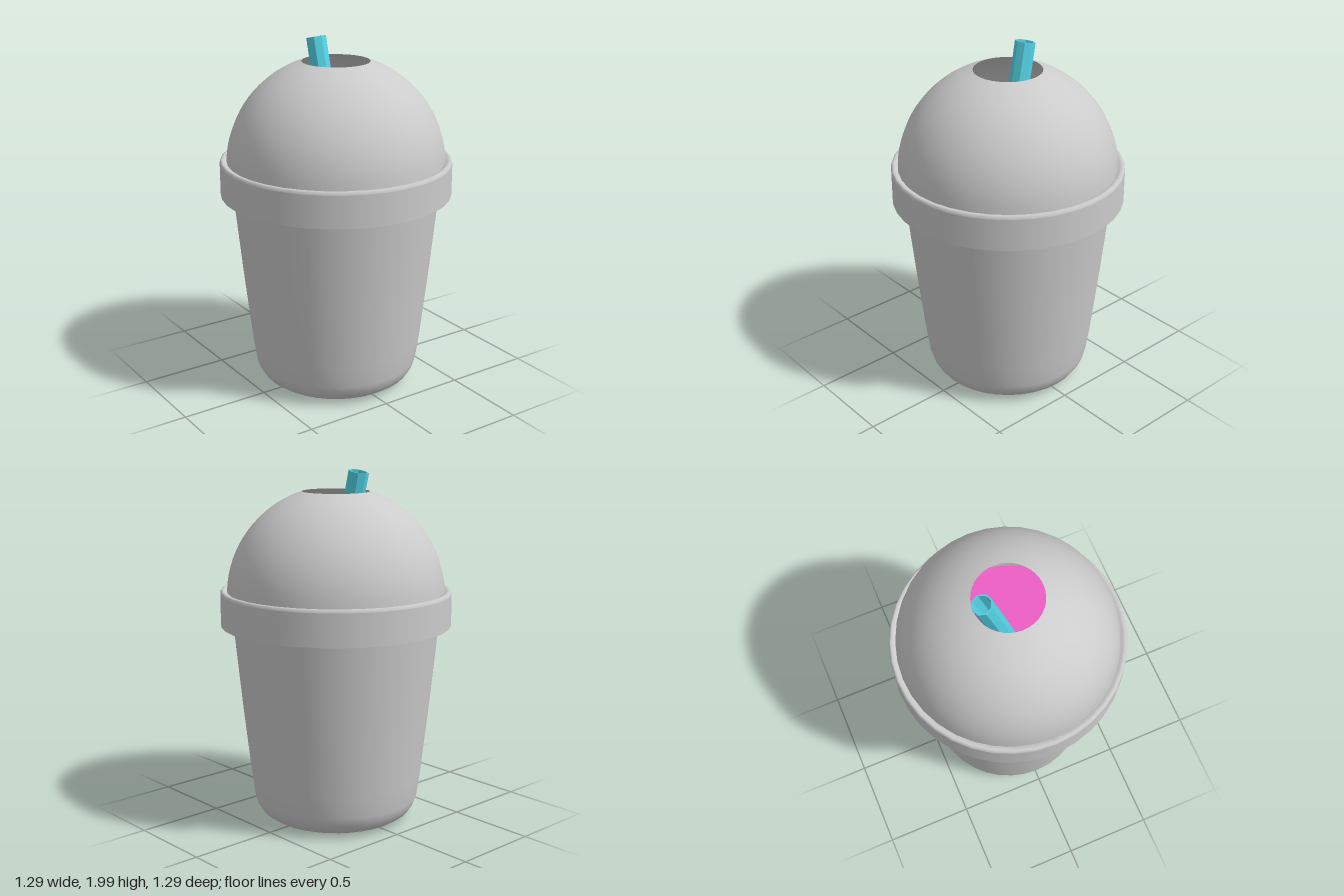
import * as THREE from 'three';

const SEGMENTS = 36;

function lathe(name, points, material) {
  const profile = points.map(([r, y]) => new THREE.Vector2(r, y));
  const mesh = new THREE.Mesh(new THREE.LatheGeometry(profile, SEGMENTS), material);
  mesh.name = name;
  return mesh;
}

export function createModel() {
  const model = new THREE.Group();
  model.name = 'domedCup';

  const grey = new THREE.MeshStandardMaterial({ color: 0xcccccc, side: THREE.DoubleSide });
  const pink = new THREE.MeshStandardMaterial({ color: 0xee5fc4 });
  const cyan = new THREE.MeshStandardMaterial({ color: 0x55d5e8, flatShading: true });

  // Tapered cup with a rounded foot, open at the top inside the lid
  model.add(lathe('cup', [
    [0, 0.012], [0.28, 0.012], [0.34, 0.015], [0.39, 0.028], [0.43, 0.055],
    [0.456, 0.095], [0.47, 0.14], [0.488, 0.27], [0.53, 0.65], [0.578, 1.135], [0.597, 1.32],
  ], grey));

  // Lid band: an open skirt whose rounded top edge runs in to the dome
  model.add(lathe('lidBand', [[0.647, 1.135], [0.647, 1.315]], grey));
  model.add(lathe('lidRim', [
    [0.647, 1.315], [0.644, 1.328], [0.635, 1.334], [0.622, 1.331], [0.61, 1.325],
  ], grey));

  // Dome: part of a sphere, cut open at the top
  const radius = 0.61, centreY = 1.295, holeRadius = 0.188;
  const start = Math.asin(0.03 / radius);
  const end = Math.acos(holeRadius / radius);
  const arc = [];
  for (let i = 0; i <= 16; i++) {
    const a = start + (end - start) * i / 16;
    arc.push([radius * Math.cos(a), centreY + radius * Math.sin(a)]);
  }
  model.add(lathe('dome', arc, grey));

  // Drink surface seen through the hole
  const drink = new THREE.Mesh(new THREE.CircleGeometry(0.565, SEGMENTS), pink);
  drink.name = 'drink';
  drink.rotation.x = -Math.PI / 2;
  drink.position.y = 1.03;
  model.add(drink);

  // Leaning eight-sided straw with a thin wall
  const top = new THREE.Vector3(-0.03, 1.988, -0.15);
  const lean = new THREE.Vector3(-0.036, 1, -0.22).normalize();
  const length = 1.6, outer = 0.056, inner = 0.048;
  const wall = [[inner, -length], [outer, -length], [outer, 0], [inner, 0], [inner, -length]]
    .map(([r, y]) => new THREE.Vector2(r, y));
  const straw = new THREE.Mesh(new THREE.LatheGeometry(wall, 8), cyan);
  straw.name = 'straw';
  straw.position.copy(top);
  straw.quaternion.setFromUnitVectors(new THREE.Vector3(0, 1, 0), lean);
  model.add(straw);

  return model;
}
